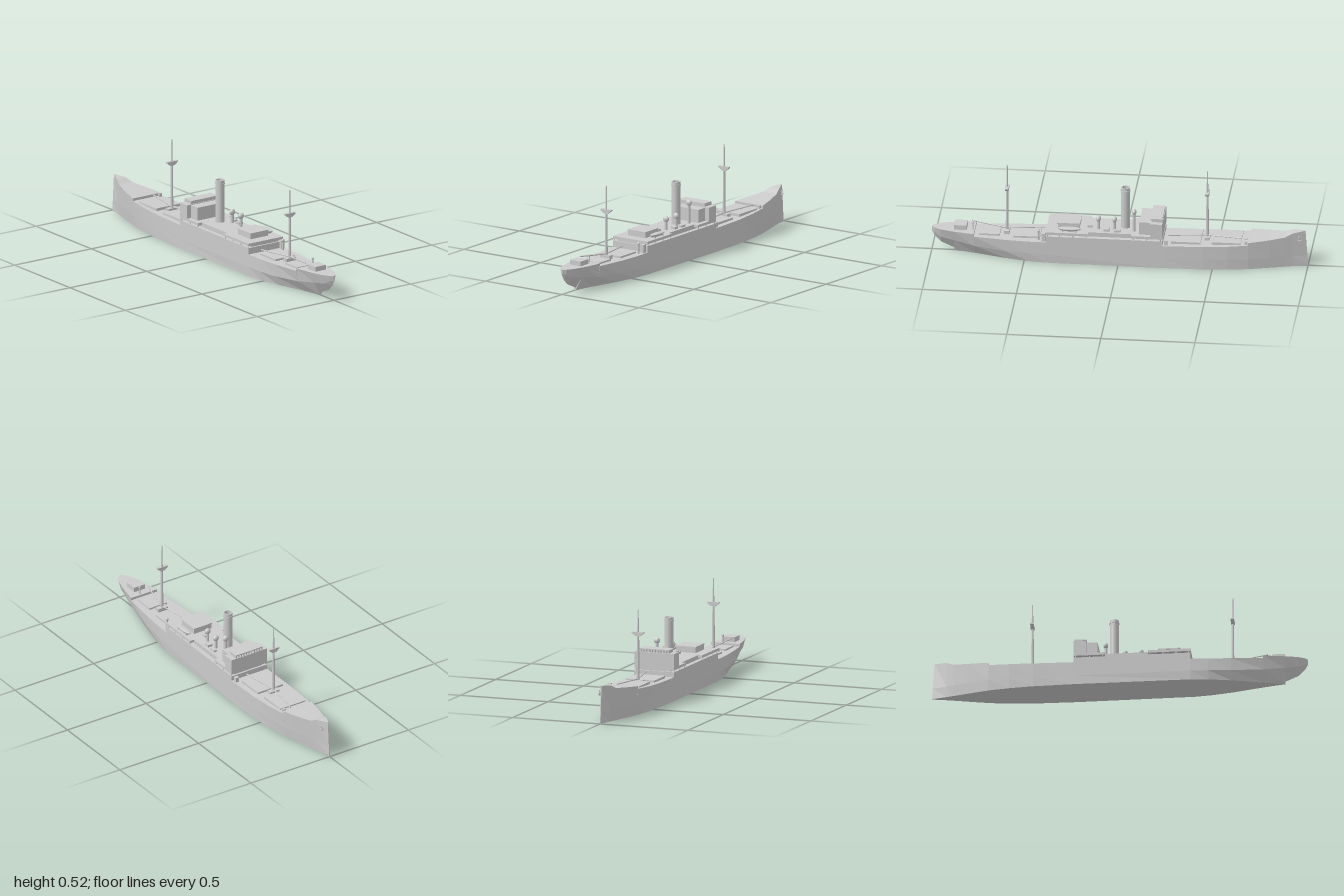
import * as THREE from 'three';

const mat = new THREE.MeshStandardMaterial({ color: 0xcccccc, side: THREE.DoubleSide });
const flat = new THREE.MeshStandardMaterial({ color: 0xcccccc, flatShading: true, side: THREE.DoubleSide });

export function createModel() {
  const ship = new THREE.Group();
  ship.name = 'steamship';

  const add = (name, geo, x = 0, y = 0, z = 0, m = mat) => {
    const mesh = new THREE.Mesh(geo, m);
    mesh.name = name;
    mesh.position.set(x, y, z);
    ship.add(mesh);
    return mesh;
  };
  // Box given by its limits on each axis
  const box = (name, x0, x1, y0, y1, z0, z1) =>
    add(name, new THREE.BoxGeometry(x1 - x0, y1 - y0, z1 - z0), (x0 + x1) / 2, (y0 + y1) / 2, (z0 + z1) / 2);
  // Upright post standing on y0
  const post = (name, x, z, y0, y1, r0, r1 = r0, sides = 12) =>
    add(name, new THREE.CylinderGeometry(r1, r0, y1 - y0, sides), x, (y0 + y1) / 2, z);
  // Round bar between two points
  const bar = (name, a, b, r) => {
    const p = new THREE.Vector3(...a), q = new THREE.Vector3(...b);
    const mid = p.clone().add(q).multiplyScalar(0.5);
    const mesh = add(name, new THREE.CylinderGeometry(r, r, p.distanceTo(q), 8), mid.x, mid.y, mid.z);
    mesh.quaternion.setFromUnitVectors(new THREE.Vector3(0, 1, 0), q.sub(p).normalize());
  };

  add('hull', hullGeometry(), 0, 0, 0, flat);

  // Midship house and the boat deck above it, notched along both sides
  box('midshipHouse', -0.088, 0.088, 0.15, 0.166, -0.225, 0.375);
  const deck = new THREE.Shape();
  const edge = [[0.113, -0.235], [0.113, -0.07], [0.09, -0.07], [0.09, 0.16], [0.113, 0.16], [0.113, 0.385]];
  edge.forEach(([x, z], i) => (i ? deck.lineTo(x, -z) : deck.moveTo(x, -z)));
  [...edge].reverse().forEach(([x, z]) => deck.lineTo(-x, -z));
  add('boatDeck', new THREE.ExtrudeGeometry(deck, { depth: 0.014, bevelEnabled: false }), 0, 0.165, 0)
    .rotation.x = -Math.PI / 2;
  for (const s of [-1, 1])
    for (const z of [-0.225, -0.15, -0.08, 0.17, 0.24, 0.31, 0.375])
      post('deckPillar', s * 0.109, z, 0.15, 0.168, 0.003);

  // Bridge
  box('bridgeHouse', -0.113, 0.113, 0.175, 0.253, -0.235, -0.17);
  box('bridgeRearHouse', -0.088, 0.088, 0.175, 0.25, -0.17, -0.11);
  box('wheelhouse', -0.083, 0.083, 0.25, 0.268, -0.22, -0.175);
  box('wheelhouseRoof', -0.085, 0.085, 0.267, 0.272, -0.233, -0.17);
  for (let i = 0; i < 11; i++) {
    const x = -0.081 + i * 0.0162;
    box('windowPost', x - 0.003, x + 0.003, 0.253, 0.268, -0.233, -0.22);
  }

  // Funnel, open at the top
  const funnel = [[0.024, 0.175], [0.024, 0.39], [0.027, 0.39], [0.027, 0.396], [0.024, 0.396],
    [0.024, 0.41], [0.019, 0.41], [0.019, 0.36], [0, 0.36]].map(p => new THREE.Vector2(...p));
  const funnelMesh = add('funnel', new THREE.LatheGeometry(funnel, 28).toNonIndexed(), 0, 0, -0.03);
  funnelMesh.geometry.computeVertexNormals();

  // Masts with crosstrees, winch tables and cargo booms
  const tree = new THREE.Shape([[-0.033, 0.022], [0.033, 0.022], [0.033, 0.016], [0.012, 0], [-0.012, 0], [-0.033, 0.016]]
    .map(p => new THREE.Vector2(...p)));
  const masts = [
    { z: 0.6, foot: 0.115, tree: 0.362, top: 0.512, booms: [[-0.04, 0.137, 0.4], [-0.034, 0.16, 0.79]] },
    { z: -0.465, foot: 0.125, tree: 0.382, top: 0.525, booms: [[0.036, 0.156, -0.68], [0.034, 0.156, -0.26]] },
  ];
  for (const m of masts) {
    post('lowerMast', 0, m.z, m.foot, m.tree + 0.022, 0.008, 0.006);
    post('topmast', 0, m.z, m.tree, m.top, 0.005, 0.003);
    add('crosstree', new THREE.ExtrudeGeometry(tree, { depth: 0.018, bevelEnabled: false }), 0, m.tree, m.z - 0.009);
    box('winchTable', -0.03, 0.03, m.foot, m.foot + 0.022, m.z - 0.014, m.z + 0.014);
    for (const end of m.booms) bar('cargoBoom', [0, m.foot + 0.027, m.z], end, 0.0035);
  }

  // Cargo hatches
  box('foreHatch', -0.08, 0.08, 0.12, 0.148, -0.65, -0.495);
  box('foreHatch', -0.08, 0.08, 0.12, 0.142, -0.435, -0.28);
  box('aftHatch', -0.065, 0.065, 0.11, 0.128, 0.42, 0.56);
  box('aftHatch', -0.055, 0.055, 0.11, 0.128, 0.635, 0.745);

  // Deckhouses
  box('engineHouse', -0.056, 0.056, 0.175, 0.208, 0.21, 0.325);
  box('engineHouseRoof', -0.058, 0.058, 0.206, 0.212, 0.207, 0.328);
  box('sternHouse', -0.035, 0.035, 0.13, 0.16, 0.812, 0.88);
  box('skylight', 0.045, 0.072, 0.175, 0.192, 0.05, 0.08);
  box('skylight', 0.012, 0.028, 0.175, 0.19, 0.145, 0.17);
  box('deckLocker', 0.056, 0.076, 0.175, 0.19, -0.01, 0.025);

  // Lifeboat on its chocks
  const boat = add('lifeboat', new THREE.SphereGeometry(1, 20, 8, 0, Math.PI * 2, Math.PI / 2, Math.PI / 2), 0.087, 0.197, 0.26);
  boat.scale.set(0.019, 0.016, 0.062);
  add('lifeboatCover', new THREE.SphereGeometry(1, 20, 6, 0, Math.PI * 2, 0, Math.PI / 2), 0.087, 0.197, 0.26)
    .scale.set(0.019, 0.004, 0.062);
  for (const z of [0.225, 0.295]) box('boatChock', 0.074, 0.1, 0.177, 0.188, z - 0.004, z + 0.004);

  // Ventilators: [x, z, foot, head height, head radius]
  const vents = [
    [0.048, -0.08, 0.175, 0.29, 0.017], [0.04, 0.025, 0.175, 0.238, 0.017], [0.036, 0.11, 0.175, 0.238, 0.017],
    [0.083, 0.425, 0.115, 0.173, 0.009], [0.02, 0.78, 0.13, 0.173, 0.007],
  ];
  for (const [x, z, y0, y1, r] of vents) {
    post('ventilatorPipe', x, z, y0, y1, r * 0.5);
    add('ventilatorCowl', new THREE.SphereGeometry(r, 18, 12), x, y1, z).scale.z = 0.75;
  }

  // Ladders' landings and small deck fittings on the left side
  box('deckFitting', 0.085, 0.105, 0.115, 0.165, 0.388, 0.408);
  box('deckFitting', 0.085, 0.105, 0.125, 0.155, -0.265, -0.245);
  box('deckFitting', 0.067, 0.083, 0.13, 0.16, -0.685, -0.67);

  // Anchor on the left bow
  bar('anchorShank', [0.022, 0.175, -0.955], [0.02, 0.148, -0.955], 0.003);
  const arms = add('anchorArms', new THREE.TorusGeometry(0.012, 0.0035, 8, 14, Math.PI), 0.02, 0.16, -0.955);
  arms.rotation.set(Math.PI, Math.PI / 2, 0);

  return ship;
}

// Hull from cross-sections, stern to bow; a repeated z makes a step in the deck
function hullGeometry() {
  // z, deck height, deck half-width, knuckle height, half-width, bottom height, half-width
  const stations = [
    [1, 0.135, 0.004, 0.118, 0.003, 0.108, 0.001],
    [0.985, 0.135, 0.022, 0.105, 0.015, 0.08, 0.002],
    [0.95, 0.135, 0.042, 0.085, 0.028, 0.045, 0.002],
    [0.88, 0.134, 0.061, 0.075, 0.042, 0.015, 0.003],
    [0.879, 0.134, 0.061, 0.075, 0.042, 0, 0.003],
    [0.77, 0.134, 0.082, 0.06, 0.068, 0, 0.028],
    [0.77, 0.12, 0.082, 0.06, 0.068, 0, 0.028],
    [0.6, 0.118, 0.1, 0.05, 0.096, 0, 0.075],
    [0.48, 0.118, 0.109, 0.05, 0.108, 0, 0.1],
    [0.385, 0.12, 0.113, 0.05, 0.113, 0, 0.11],
    [0.385, 0.155, 0.113, 0.05, 0.113, 0, 0.11],
    [-0.235, 0.155, 0.113, 0.05, 0.113, 0, 0.113],
    [-0.235, 0.128, 0.113, 0.05, 0.113, 0, 0.113],
    [-0.45, 0.132, 0.111, 0.06, 0.11, 0, 0.108],
    [-0.58, 0.137, 0.104, 0.06, 0.101, 0, 0.097],
    [-0.69, 0.143, 0.091, 0.06, 0.086, 0, 0.08],
    [-0.69, 0.157, 0.091, 0.06, 0.086, 0, 0.08],
    [-0.8, 0.167, 0.066, 0.06, 0.058, 0, 0.052],
    [-0.88, 0.176, 0.043, 0.06, 0.036, 0, 0.03],
    [-0.92, 0.195, 0.03, 0.06, 0.024, 0, 0.02],
    [-1, 0.203, 0.002, 0.06, 0.002, 0, 0.002],
  ];
  const pos = [], index = [], n = 6;
  stations.forEach(([z, yt, wt, ym, wm, yb, wb]) => {
    const ring = [[wt, yt], [wm, ym], [wb, yb], [-wb, yb], [-wm, ym], [-wt, yt]];
    // Slight rake of the stem
    for (const [x, y] of ring) pos.push(x, y, z === -1 ? z + 0.07 * y : z);
  });
  for (let i = 0; i < stations.length - 1; i++)
    for (let k = 0; k < n; k++) {
      const a = i * n + k, b = i * n + (k + 1) % n;
      index.push(a, b, b + n, a, b + n, a + n);
    }
  const last = (stations.length - 1) * n;
  for (let k = 1; k < n - 1; k++) index.push(0, k + 1, k, last, last + k, last + k + 1);
  const geo = new THREE.BufferGeometry();
  geo.setAttribute('position', new THREE.Float32BufferAttribute(pos, 3));
  geo.setIndex(index);
  geo.computeVertexNormals();
  return geo;
}
